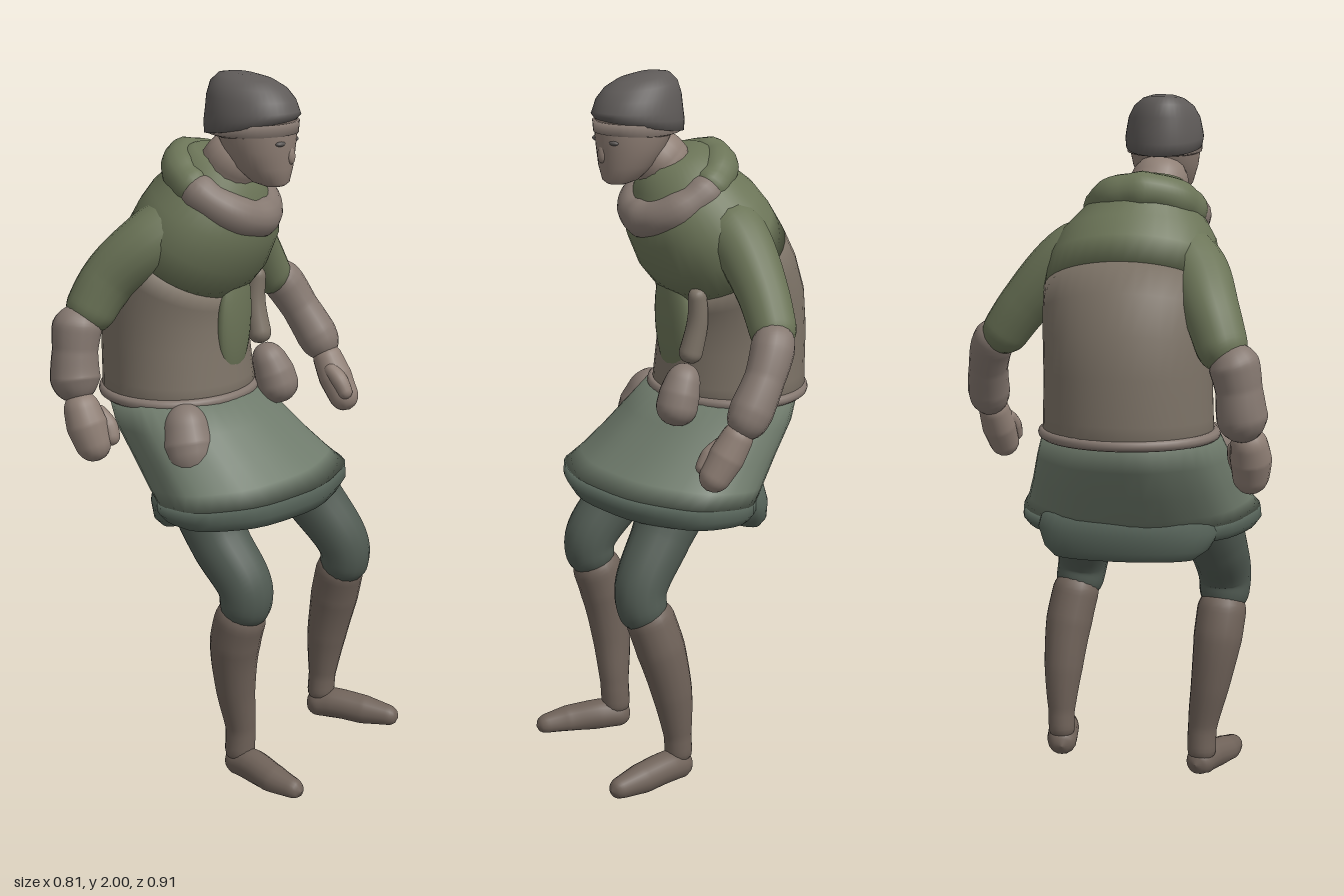
import * as THREE from 'three';
import { mergeVertices } from 'three/addons/utils/BufferGeometryUtils.js';

const V = (p) => new THREE.Vector3(...p);
const mats = {};
const mat = (color) => (mats[color] ??= new THREE.MeshStandardMaterial({ color }));
const GREEN = 0x6c7558, VEST = 0x7d7367, SKIRT = 0x6f7b6c, HEM = 0x57645a, LEGS = 0x515b53;
const BOOT = 0x6f6259, CAP = 0x5e5a58, SKIN = 0x8f7f75, CUFF = 0x857870;

export function createModel() {
  const root = new THREE.Group();
  root.name = 'crouchingFigure';

  const add = (name, geo, color, parent = root) => {
    const m = new THREE.Mesh(geo, mat(color));
    m.name = name;
    parent.add(m);
    return m;
  };

  // Closed skin over elliptical rings, bottom to top: [cx, cy, cz, rx, rz, slope toward +x]
  const loft = (name, rings, color, ripple = 0) => {
    const n = 40, pos = [], idx = [];
    rings.forEach(([cx, cy, cz, rx, rz, s = 0], i) => {
      for (let j = 0; j < n; j++) {
        const a = (j / n) * Math.PI * 2, k = 1 + ripple * Math.sin(a * 9);
        const x = Math.cos(a) * rx * k;
        pos.push(cx + x, cy + x * s, cz + Math.sin(a) * rz * k);
        if (i < rings.length - 1) {
          const q = i * n + j, r = i * n + ((j + 1) % n);
          idx.push(q, q + n, r, r, q + n, r + n);
        }
      }
    });
    const last = (rings.length - 1) * n, c = pos.length / 3;
    pos.push(...rings[0].slice(0, 3), ...rings.at(-1).slice(0, 3));
    for (let j = 0; j < n; j++) {
      const k = (j + 1) % n;
      idx.push(c, j, k, c + 1, last + k, last + j);
    }
    const g = new THREE.BufferGeometry();
    g.setAttribute('position', new THREE.Float32BufferAttribute(pos, 3));
    g.setIndex(idx);
    g.computeVertexNormals();
    add(name, g, color);
  };

  // Round-ended tube with varying thickness along a smooth path: [x, y, z, radius]
  const limb = (name, pts, color, parent) => {
    const curve = new THREE.CatmullRomCurve3(pts.map((p) => V(p.slice(0, 3))));
    const seg = 40, rad = 16, len = curve.getLength();
    let g = new THREE.TubeGeometry(curve, seg, 1, rad);
    const p = g.attributes.position, v = new THREE.Vector3();
    for (let i = 0; i <= seg; i++) {
      const t = i / seg, c = curve.getPointAt(t);
      const u = curve.getUtoTmapping(t) * (pts.length - 1);
      const k = Math.min(Math.floor(u), pts.length - 2);
      let r = THREE.MathUtils.lerp(pts[k][3], pts[k + 1][3], u - k);
      const d = Math.min(t, 1 - t) * len;
      if (d < r) r = Math.sqrt(Math.max(r * r - (r - d) ** 2, 1e-8));
      for (let j = 0; j <= rad; j++) {
        const id = i * (rad + 1) + j;
        v.fromBufferAttribute(p, id).sub(c).multiplyScalar(r).add(c);
        p.setXYZ(id, v.x, v.y, v.z);
      }
    }
    g.deleteAttribute('uv');
    g.deleteAttribute('normal');
    g = mergeVertices(g, 1e-5);
    g.computeVertexNormals();
    return add(name, g, color, parent);
  };

  const blob = (name, c, r, color, rotZ = 0) => {
    const m = add(name, new THREE.SphereGeometry(1, 24, 16), color);
    m.position.set(...c);
    m.scale.set(...r);
    m.rotation.z = rotZ;
  };

  // Torso: vest rising high on the back, sweater over chest and shoulders
  const seam = [-0.145, 1.47, 0.04, 0.155, 0.24, -0.67];
  loft('vest', [
    [-0.18, 1.07, 0.04, 0.19, 0.22, 0],
    [-0.18, 1.07, 0.04, 0.213, 0.24, 0],
    [-0.183, 1.13, 0.04, 0.21, 0.237, -0.03],
    [-0.19, 1.24, 0.04, 0.205, 0.234, -0.13],
    [-0.188, 1.33, 0.04, 0.195, 0.236, -0.28],
    [-0.17, 1.41, 0.04, 0.175, 0.24, -0.47],
    seam,
  ], VEST);
  loft('sweater', [
    seam,
    [-0.095, 1.54, 0.045, 0.163, 0.242, -0.63],
    [-0.055, 1.61, 0.05, 0.165, 0.218, -0.5],
    [-0.03, 1.668, 0.06, 0.138, 0.172, -0.5],
    [-0.025, 1.725, 0.07, 0.12, 0.13, -0.48],
    [-0.01, 1.765, 0.08, 0.085, 0.09, -0.35],
  ], GREEN);
  blob('tabard', [0.0, 1.29, 0.05], [0.035, 0.18, 0.085], GREEN, -0.05);

  // Skirt: dark hem, flared cloth, and the fuller seat drooping behind
  loft('skirtHem', [
    [0.05, 0.8, 0.045, 0.16, 0.23, 0.08],
    [0.05, 0.775, 0.045, 0.2, 0.29, 0.08],
    [0.055, 0.775, 0.045, 0.228, 0.327, 0.08],
    [0.055, 0.8, 0.045, 0.247, 0.345, 0.1],
    [0.053, 0.832, 0.045, 0.247, 0.342, 0.12],
  ], HEM, 0.01);
  loft('skirt', [
    [0.053, 0.83, 0.045, 0.247, 0.342, 0.12],
    [0.012, 0.868, 0.045, 0.239, 0.32, 0.13],
    [-0.045, 0.93, 0.045, 0.23, 0.297, 0.1],
    [-0.115, 1.01, 0.045, 0.225, 0.272, 0.05],
    [-0.17, 1.09, 0.045, 0.203, 0.245, 0],
  ], SKIRT, 0.01);
  loft('skirtSeat', [
    [-0.13, 0.705, 0.02, 0.03, 0.15, 0],
    [-0.13, 0.712, 0.02, 0.06, 0.2, 0],
    [-0.12, 0.74, 0.025, 0.09, 0.235, 0],
    [-0.1, 0.79, 0.03, 0.115, 0.26, 0],
    [-0.08, 0.85, 0.035, 0.13, 0.25, 0],
  ], HEM);
  const belt = add('belt', new THREE.TorusGeometry(1, 0.06, 10, 48), CUFF);
  belt.rotation.x = Math.PI / 2;
  belt.scale.set(0.21, 0.24, 0.25);
  belt.position.set(-0.178, 1.085, 0.042);

  // Pouches and the strap of the front one
  limb('frontPouch', [[0.03, 1.2, -0.065, 0.04], [0.065, 1.12, -0.075, 0.058], [0.09, 1.03, -0.08, 0.062]], CUFF);
  limb('pouchStrap', [[0.01, 1.42, -0.08, 0.025], [0.005, 1.32, -0.075, 0.03], [0.03, 1.2, -0.065, 0.035]], VEST);
  limb('sidePouch', [[-0.065, 1.09, 0.235, 0.055], [-0.035, 0.98, 0.265, 0.075], [-0.005, 0.89, 0.29, 0.06]], CUFF);

  // Thick cowl sloping down at the chest, brown in front and green behind
  const cowlArc = (name, from, to, color) => {
    const pts = [];
    for (let i = 0; i <= 12; i++) {
      const a = THREE.MathUtils.lerp(from, to, i / 12), x = Math.cos(a) * 0.112;
      pts.push([-0.025 + x, 1.672 - x * 0.66, 0.07 + Math.sin(a) * 0.125, 0.054 + 0.003 * Math.sin(i * 2.4)]);
    }
    limb(name, pts, color);
  };
  cowlArc('cowlFront', -2, 2, CUFF);
  cowlArc('cowlBack', 1.5, Math.PI * 2 - 1.5, GREEN);
  limb('neck', [[-0.03, 1.68, 0.08, 0.09], [0.02, 1.755, 0.098, 0.082], [0.07, 1.82, 0.105, 0.08]], SKIN);

  // Head: face, brow band, nose, eyes and cap
  loft('face', [
    [0.15, 1.7, 0.107, 0.03, 0.03],
    [0.14, 1.71, 0.107, 0.052, 0.048],
    [0.12, 1.75, 0.107, 0.08, 0.075],
    [0.105, 1.8, 0.106, 0.1, 0.092],
    [0.095, 1.85, 0.105, 0.115, 0.1],
    [0.09, 1.9, 0.105, 0.115, 0.1],
  ], SKIN);
  loft('browBand', [
    [0.085, 1.835, 0.105, 0.11, 0.095, 0.03],
    [0.086, 1.84, 0.105, 0.127, 0.105, 0.03],
    [0.086, 1.87, 0.105, 0.13, 0.106, 0.05],
  ], CUFF);
  blob('nose', [0.196, 1.79, 0.107], [0.014, 0.03, 0.018], SKIN, 0.2);
  for (const s of [-1, 1]) blob('eye', [0.188, 1.822, 0.107 + s * 0.04], [0.012, 0.008, 0.022], CAP);
  loft('cap', [
    [0.075, 1.85, 0.105, 0.1, 0.09, 0.18],
    [0.078, 1.857, 0.105, 0.13, 0.107, 0.18],
    [0.083, 1.88, 0.105, 0.137, 0.11, 0.1],
    [0.083, 1.9, 0.105, 0.133, 0.107, 0.02],
    [0.08, 1.935, 0.105, 0.126, 0.1, -0.04],
    [0.073, 1.967, 0.105, 0.109, 0.083, -0.08],
    [0.065, 1.988, 0.105, 0.08, 0.057, -0.1],
    [0.055, 1.998, 0.105, 0.037, 0.027, -0.08],
  ], CAP);

  // Arms: sleeve, cuff, fist with thumb
  const arm = (name, sleeve, cuff, fist, thumb) => {
    const g = new THREE.Group();
    g.name = name;
    root.add(g);
    limb('sleeve', sleeve, GREEN, g);
    limb('cuff', cuff, CUFF, g);
    limb('fist', fist, SKIN, g);
    limb('thumb', thumb, SKIN, g);
  };
  arm('rightArm',
    [[-0.08, 1.6, 0.13, 0.1], [-0.17, 1.53, 0.225, 0.09], [-0.27, 1.43, 0.28, 0.078], [-0.335, 1.29, 0.332, 0.068]],
    [[-0.335, 1.36, 0.325, 0.062], [-0.335, 1.31, 0.345, 0.071], [-0.335, 1.24, 0.36, 0.064], [-0.33, 1.16, 0.37, 0.071], [-0.31, 1.1, 0.385, 0.06]],
    [[-0.32, 1.13, 0.38, 0.045], [-0.285, 1.04, 0.39, 0.058], [-0.25, 0.94, 0.385, 0.045]],
    [[-0.29, 1.08, 0.35, 0.025], [-0.24, 1.03, 0.35, 0.028], [-0.22, 0.98, 0.36, 0.022]]);
  arm('leftArm',
    [[-0.08, 1.6, -0.04, 0.1], [-0.09, 1.55, -0.14, 0.088], [-0.085, 1.43, -0.26, 0.073], [-0.065, 1.29, -0.362, 0.063]],
    [[-0.075, 1.36, -0.335, 0.055], [-0.04, 1.3, -0.37, 0.061], [0.0, 1.23, -0.39, 0.056], [0.05, 1.15, -0.4, 0.061], [0.09, 1.08, -0.4, 0.05]],
    [[0.07, 1.12, -0.4, 0.04], [0.12, 1.03, -0.385, 0.05], [0.175, 0.94, -0.37, 0.04]],
    [[0.1, 1.07, -0.365, 0.022], [0.15, 1.03, -0.35, 0.025], [0.18, 0.98, -0.345, 0.02]]);

  // Legs: thigh, boot shaft, foot flattened on its sole
  const leg = (name, thigh, shin, foot) => {
    const g = new THREE.Group();
    g.name = name;
    root.add(g);
    limb('thigh', thigh, LEGS, g);
    limb('bootShaft', shin, BOOT, g);
    const f = limb('foot', foot, BOOT, g);
    const p = f.geometry.attributes.position, sole = foot[0][1] - 0.03;
    for (let i = 0; i < p.count; i++) p.setY(i, Math.max(p.getY(i), sole));
    f.geometry.computeVertexNormals();
  };
  leg('rightLeg',
    [[-0.03, 0.88, 0.22, 0.11], [0.06, 0.72, 0.265, 0.086], [0.15, 0.59, 0.28, 0.077], [0.13, 0.48, 0.275, 0.068]],
    [[0.15, 0.56, 0.28, 0.073], [0.11, 0.42, 0.265, 0.072], [0.1, 0.28, 0.245, 0.058], [0.105, 0.14, 0.222, 0.043], [0.1, 0.03, 0.22, 0.043]],
    [[0.06, 0.032, 0.205, 0.041], [0.15, 0.036, 0.235, 0.046], [0.24, 0.024, 0.275, 0.044], [0.335, 0.018, 0.3, 0.026]]);
  leg('leftLeg',
    [[0.06, 0.88, -0.1, 0.11], [0.17, 0.73, -0.135, 0.086], [0.255, 0.59, -0.16, 0.074], [0.235, 0.48, -0.178, 0.068]],
    [[0.25, 0.57, -0.165, 0.07], [0.21, 0.42, -0.195, 0.07], [0.18, 0.28, -0.208, 0.058], [0.165, 0.15, -0.212, 0.04], [0.16, 0.06, -0.21, 0.04]],
    [[0.12, 0.05, -0.205, 0.041], [0.2, 0.06, -0.215, 0.046], [0.3, 0.052, -0.225, 0.044], [0.405, 0.044, -0.235, 0.026]]);

  return root;
}
